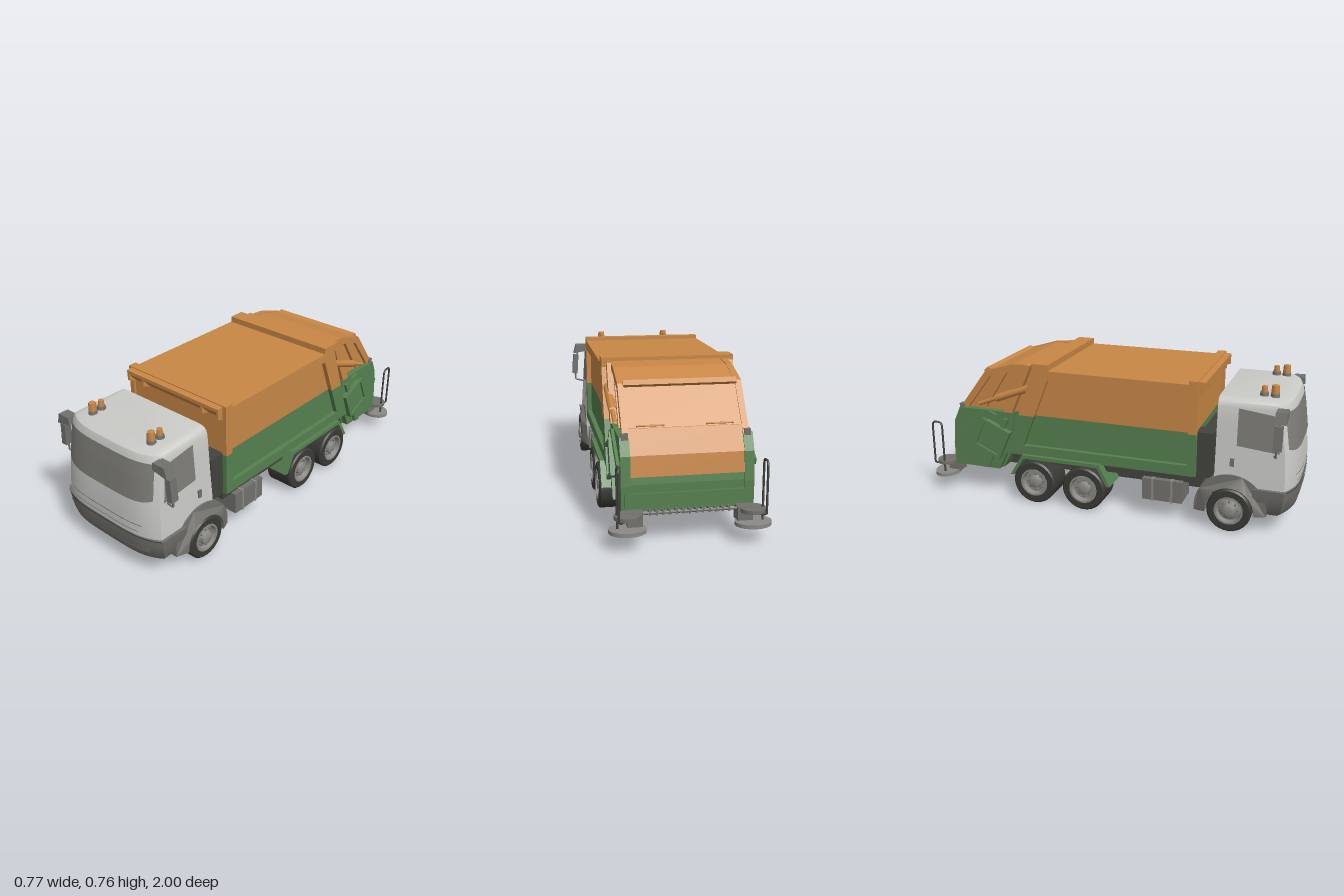
import * as THREE from 'three';
import { toCreasedNormals } from 'three/addons/utils/BufferGeometryUtils.js';

export function createModel() {
  const root = new THREE.Group();
  const mat = (name, color, side = THREE.FrontSide) => {
    const m = new THREE.MeshStandardMaterial({ color, side });
    m.name = name;
    return m;
  };
  const orange = mat('orange paint', 0xc88746), green = mat('green paint', 0x55804f);
  const white = mat('cab paint', 0xc9c9c6), glass = mat('glass', 0x7e7d77, THREE.DoubleSide);
  const grey = mat('grey plastic', 0x72716d), metal = mat('metal', 0x8a8985);
  const dark = mat('dark chassis', 0x42423e), rubber = mat('rubber', 0x3a3a36);

  const add = (name, geo, m, parent = root) => {
    const mesh = new THREE.Mesh(geo, m);
    mesh.name = name;
    parent.add(mesh);
    return mesh;
  };
  // box from its limits
  const box = (name, m, x0, x1, y0, y1, z0, z1) =>
    add(name, new THREE.BoxGeometry(x1 - x0, y1 - y0, Math.abs(z1 - z0))
      .translate((x0 + x1) / 2, (y0 + y1) / 2, (z0 + z1) / 2), m);
  // side outline of [z, y] points, extruded from x0 to x1
  const slab = (name, m, pts, x0, x1) => {
    const shape = new THREE.Shape(pts.map(p => new THREE.Vector2(...p)));
    return add(name, new THREE.ExtrudeGeometry(shape, { depth: x1 - x0, bevelEnabled: false })
      .rotateY(-Math.PI / 2).translate(x1, 0, 0), m);
  };
  const pair = (name, m, pts, x0, x1) => {
    slab(name, m, pts, x0, x1);
    slab(name, m, pts, -x1, -x0);
  };
  // keep the part of an outline above (s = 1) or below (s = -1) height h
  const clip = (pts, h, s) => pts.flatMap((p, i) => {
    const q = pts[(i + 1) % pts.length], a = s * (p[1] - h), b = s * (q[1] - h), t = a / (a - b);
    const out = a >= 0 ? [p] : [];
    if (a * b < 0) out.push([p[0] + (q[0] - p[0]) * t, h]);
    return out;
  });
  const twoTone = (name, pts, x0, x1, build = slab) => {
    const up = clip(pts, 0.477, 1), low = clip(pts, 0.477, -1);
    if (up.length > 2) build(name, orange, up, x0, x1);
    if (low.length > 2) build(name, green, low, x0, x1);
  };
  const tube = (name, m, pts, r) => {
    const path = new THREE.CurvePath();
    const v = pts.map(p => new THREE.Vector3(...p));
    for (let i = 1; i < v.length; i++) path.add(new THREE.LineCurve3(v[i - 1], v[i]));
    return add(name, new THREE.TubeGeometry(path, (v.length - 1) * 8, r, 8), m);
  };

  // ---- cab: horizontal sections [height, half width, front z]
  const bulge = 0.055;
  const loft = (levels, back) => {
    const n = 24, pos = [], idx = [], count = n + 3;
    for (const [y, w, f] of levels) {
      pos.push(-w, y, back);
      for (let i = 0; i <= n; i++) {
        const u = i / n * 2 - 1;
        pos.push(u * w, y, f - bulge * u ** 4);
      }
      pos.push(w, y, back);
    }
    for (let k = 0; k < levels.length - 1; k++) for (let j = 0; j < count; j++) {
      const a = k * count + j, b = k * count + (j + 1) % count;
      idx.push(a, b, b + count, a, b + count, a + count);
    }
    const top = (levels.length - 1) * count;
    for (let j = 1; j < count - 1; j++) idx.push(top, top + j, top + j + 1, 0, j + 1, j);
    const g = new THREE.BufferGeometry();
    g.setAttribute('position', new THREE.Float32BufferAttribute(pos, 3));
    g.setIndex(idx);
    return toCreasedNormals(g, 0.7);
  };
  const cab = [[0.235, 0.325, 0.995], [0.3, 0.322, 0.995], [0.42, 0.313, 0.985], [0.55, 0.305, 0.968],
    [0.63, 0.3, 0.954], [0.655, 0.293, 0.943], [0.669, 0.278, 0.91], [0.675, 0.255, 0.86]];
  const bumper = [[0.095, 0.3, 0.965], [0.12, 0.322, 0.985], [0.2, 0.338, 0.996], [0.236, 0.342, 0.998]];
  add('cab', loft(cab, 0.595), white);
  add('bumper', loft(bumper, 0.79), grey);
  const at = (levels, y) => {
    let k = 0;
    while (k < levels.length - 2 && y > levels[k + 1][0]) k++;
    const [a, b] = [levels[k], levels[k + 1]], t = (y - a[0]) / (b[0] - a[0]);
    return [a[1] + (b[1] - a[1]) * t, a[2] + (b[2] - a[2]) * t];
  };
  // thin sheet whose grid is placed by a rule (u, v in 0..1)
  const sheet = (name, m, rule) => {
    const g = new THREE.PlaneGeometry(1, 1, 24, 14), p = g.attributes.position;
    for (let i = 0; i < p.count; i++) p.setXYZ(i, ...rule(p.getX(i) + 0.5, p.getY(i) + 0.5));
    g.computeVertexNormals();
    add(name, g, m);
  };
  // sheet on the front; corner pulls the ends of the lower edge up
  const frontSheet = (name, m, levels, y0, y1, w0, w1, corner = 0) => sheet(name, m, (u, v) => {
    const s = u * 2 - 1, y = y0 + (y1 - y0) * v + corner * (1 - v) * s ** 8;
    const x = s * (w0 + (w1 - w0) * v), [w, f] = at(levels, y);
    return [x, y, f - bulge * (x / w) ** 4 + 0.004];
  });
  frontSheet('windscreen', glass, cab, 0.423, 0.622, 0.289, 0.284, 0.02);
  frontSheet('grille slot top', grey, cab, 0.297, 0.301, 0.24, 0.24);
  frontSheet('grille slot bottom', grey, cab, 0.26, 0.263, 0.22, 0.22);
  frontSheet('bumper panel', grey, bumper, 0.15, 0.208, 0.27, 0.29);
  frontSheet('bumper gap', dark, bumper, 0.231, 0.236, 0.335, 0.335);
  for (const s of [1, -1]) {
    sheet('side window', glass, (u, v) => {
      const t = s > 0 ? u : 1 - u, y = 0.422 + 0.02 * t + (0.185 - 0.01 * t) * v + 0.012 * t * v;
      const front = 0.905 - 0.03 * v;
      return [s * (at(cab, y)[0] + 0.004), y, front + (0.698 - front) * t];
    });
    const h = s * 0.318;
    box('door handle', grey, h - 0.008, h + 0.008, 0.335, 0.375, 0.67, 0.69);
    // mirrors and their arms
    const visor = new THREE.Shape([[0.285, 0.607], [0.375, 0.59], [0.36, 0.645], [0.29, 0.645]]
      .map(([x, y]) => new THREE.Vector2(s * x, y)));
    add('front mirror', new THREE.ExtrudeGeometry(visor, { depth: 0.055, bevelEnabled: false }).translate(0, 0, 0.88), grey);
    const side = box('side mirror', grey, -0.016, 0.016, -0.06, 0.06, -0.02, 0.02);
    side.position.set(s * 0.366, 0.52, 0.9);
    side.rotation.z = s * 0.07;
    tube('mirror arm', grey, [[s * 0.35, 0.6, 0.9], [s * 0.37, 0.5, 0.895], [s * 0.365, 0.42, 0.895], [s * 0.31, 0.41, 0.88]], 0.005);
    // beacons
    for (const [z, y, r] of [[0.852, 0.73, 0.021], [0.8, 0.722, 0.016]]) {
      add('beacon base', new THREE.CylinderGeometry(0.02, 0.024, 0.025, 12).translate(s * 0.2, 0.68, z), grey);
      add('beacon', new THREE.CylinderGeometry(r * 0.85, r, y - 0.69, 12).translate(s * 0.2, (y + 0.69) / 2, z), orange);
    }
    // front wheel arch, its outer rim drawn in towards the door
    const arch = new THREE.Shape();
    arch.absarc(0.68, 0.11, 0.182, -0.1, Math.PI + 0.15, false);
    arch.absarc(0.68, 0.11, 0.122, Math.PI + 0.15, -0.1, true);
    const ag = new THREE.ExtrudeGeometry(arch, { depth: 0.145, bevelEnabled: false, curveSegments: 20 })
      .rotateY(-Math.PI / 2).translate(s > 0 ? 0.36 : -0.215, 0, 0), ap = ag.attributes.position;
    for (let i = 0; i < ap.count; i++) {
      const r = Math.hypot(ap.getZ(i) - 0.68, ap.getY(i) - 0.11);
      if (r > 0.15 && Math.abs(ap.getX(i)) > 0.3) ap.setX(i, s * 0.332);
    }
    ag.computeVertexNormals();
    add('front fender', ag, grey);
  }

  // ---- chassis
  box('chassis', dark, -0.185, 0.185, 0.14, 0.26, -0.6, 0.82);
  box('subframe', dark, -0.3, 0.3, 0.21, 0.258, -0.52, 0.5);
  box('engine cover', dark, -0.185, 0.185, 0.25, 0.45, 0.495, 0.6);
  for (const s of [1, -1]) {
    const lim = (a, b) => s > 0 ? [a, b] : [-b, -a];
    box('air intake', dark, ...lim(0.215, 0.305), 0.25, 0.485, 0.495, 0.58);
    box('side tank', grey, ...lim(0.18, 0.33), 0.1, 0.215, 0.225, 0.435);
    for (const z of [0.28, 0.38]) box('tank strap', metal, ...lim(0.2, 0.334), 0.097, 0.218, z - 0.006, z + 0.006);
  }

  // ---- wheels
  const wheel = (z, r, w, s, dish) => {
    const g = new THREE.Group(), h = w / 2, b = r * 0.62;
    g.name = 'wheel';
    const turn = (name, m, pts) => add(name, toCreasedNormals(
      new THREE.LatheGeometry(pts.map(p => new THREE.Vector2(...p)), 32).rotateZ(-Math.PI / 2), 0.6), m, g);
    turn('tyre', rubber, [[0, -h], [r - 0.008, -h], [r, 0.008 - h], [r, h - 0.008], [r - 0.008, h], [b, h], [b, h - 0.04]]);
    turn('rim', metal, [[b + 0.004, h - 0.005], [b + 0.003, h + 0.003], [b - 0.006, h + 0.003], [b - 0.012, h - 0.025],
      [0.036, h - 0.025 + dish], [0.032, h + dish - 0.005], [0.022, h + dish], [0, h + dish]]);
    for (let i = 0; i < 8; i++) {
      const a = i * Math.PI / 4;
      add('wheel bolt', new THREE.CylinderGeometry(0.005, 0.005, 0.015, 6).rotateZ(Math.PI / 2)
        .translate(h - 0.018 + dish * 0.6, Math.cos(a) * 0.044, Math.sin(a) * 0.044), grey, g);
    }
    g.position.set(s * (0.36 - h), r, z);
    if (s < 0) g.rotation.y = Math.PI;
    root.add(g);
  };
  for (const s of [1, -1]) {
    wheel(0.68, 0.112, 0.155, s, 0.01);
    for (const z of [-0.09, -0.37]) wheel(z, 0.117, 0.16, s, 0);
  }
  // rear mudguards
  pair('mudguard', green, [[0.055, 0.145], [-0.005, 0.262], [-0.44, 0.262], [-0.51, 0.145], [-0.49, 0.145],
    [-0.43, 0.243], [-0.015, 0.243], [0.035, 0.145]], 0.2, 0.352);

  // ---- container: core and side frame
  twoTone('container', [[0.49, 0.255], [-0.51, 0.255], [-0.345, 0.73], [0.49, 0.73]], -0.305, 0.305);
  const frame = [
    [[0.5, 0.255], [-0.5, 0.255], [-0.48, 0.31], [0.5, 0.31]],
    [[0.5, 0.31], [0.455, 0.31], [0.455, 0.68], [0.5, 0.68]],
    [[0.5, 0.68], [-0.3, 0.68], [-0.3, 0.73], [0.5, 0.73]],
    [[-0.46, 0.255], [-0.54, 0.255], [-0.37, 0.73], [-0.27, 0.73]],
  ];
  for (const f of frame) twoTone('side frame', f, 0.3, 0.33, pair);
  box('front rail', orange, -0.33, 0.33, 0.7, 0.748, 0.455, 0.5);
  // overhanging headboard with ribs below it
  slab('headboard', orange, [[0.48, 0.745], [0.532, 0.74], [0.532, 0.722], [0.495, 0.678]], -0.31, 0.31);
  for (const x of [-0.31, -0.206, 0.194, 0.298]) slab('headboard rib', orange,
    [[0.49, 0.73], [0.531, 0.73], [0.531, 0.685], [0.49, 0.67]], x, x + 0.012);
  box('rear hoop', orange, -0.33, 0.33, 0.715, 0.762, -0.375, -0.285);

  // ---- tailgate hopper
  twoTone('hopper', [[-0.36, 0.745], [-0.5, 0.737], [-0.66, 0.69], [-0.8, 0.5], [-0.847, 0.4], [-0.865, 0.27],
    [-0.865, 0.145], [-0.59, 0.145], [-0.53, 0.255]], -0.272, 0.272);
  slab('rear panel', orange, [[-0.8, 0.51], [-0.856, 0.4], [-0.869, 0.305], [-0.855, 0.305], [-0.84, 0.4], [-0.78, 0.51]], -0.262, 0.262);
  slab('top ridge', orange, [[-0.63, 0.695], [-0.665, 0.705], [-0.685, 0.685], [-0.67, 0.67]], -0.265, 0.265);
  box('rear bumper beam', green, -0.29, 0.29, 0.15, 0.23, -0.875, -0.84);
  pair('hopper side', green, [[-0.5, 0.477], [-0.825, 0.477], [-0.86, 0.4], [-0.873, 0.265], [-0.87, 0.145],
    [-0.6, 0.145], [-0.53, 0.3]], 0.26, 0.305);
  pair('hopper post', orange, [[-0.39, 0.745], [-0.43, 0.745], [-0.56, 0.477], [-0.51, 0.477]], 0.26, 0.31);
  pair('hopper edge', orange, [[-0.43, 0.745], [-0.5, 0.74], [-0.665, 0.69], [-0.825, 0.477], [-0.78, 0.477],
    [-0.64, 0.66], [-0.49, 0.705], [-0.41, 0.715]], 0.26, 0.29);
  pair('hopper brace', orange, [[-0.52, 0.72], [-0.55, 0.71], [-0.7, 0.49], [-0.67, 0.49]], 0.26, 0.29);
  pair('lower rib', green, [[-0.53, 0.44], [-0.56, 0.44], [-0.7, 0.15], [-0.66, 0.15]], 0.3, 0.32);
  pair('lower rib', green, [[-0.6, 0.46], [-0.84, 0.33], [-0.85, 0.36], [-0.64, 0.475]], 0.3, 0.32);
  for (const s of [1, -1]) {
    // tilted square housing
    const plate = (name, a, d, dz = 0, dy = 0, b = a) => {
      const m = box(name, green, -d, d, -b, b, -a, a), t = 0.42;
      m.position.set(s * 0.315, 0.325 + dy * Math.cos(t) - dz * Math.sin(t), -0.63 + dz * Math.cos(t) + dy * Math.sin(t));
      m.rotation.x = t;
    };
    plate('housing', 0.075, 0.01);
    for (const k of [-1, 1]) {
      plate('housing frame', 0.085, 0.02, 0, k * 0.077, 0.009);
      plate('housing frame', 0.009, 0.02, k * 0.077, 0, 0.085);
    }
    tube('hydraulic cylinder', orange, [[s * 0.305, 0.625, -0.4], [s * 0.305, 0.55, -0.6]], 0.02);
    tube('hydraulic rod', orange, [[s * 0.305, 0.55, -0.6], [s * 0.305, 0.51, -0.7]], 0.011);
    box('rear lamp', grey, s * 0.28 - 0.015, s * 0.28 + 0.015, 0.46, 0.495, -0.83, -0.8);
    tube('rear handle', orange, [[s * 0.1, 0.515, -0.785], [s * 0.1, 0.522, -0.802], [s * 0.22, 0.522, -0.802], [s * 0.22, 0.515, -0.785]], 0.004);

    // crew step with guard rail
    const disc = (name, m, y, h, rx, rz) => add(name, new THREE.CylinderGeometry(1, 1, h, 24)
      .scale(rx, 1, rz).translate(s * 0.285, y, -0.933), m);
    disc('step plate', metal, 0.088, 0.018, 0.085, 0.067);
    disc('upper step', grey, 0.15, 0.018, 0.06, 0.055);
    box('step bracket', grey, s * 0.25 - 0.035, s * 0.25 + 0.035, 0.09, 0.16, -0.93, -0.86);
    tube('guard rail', dark, [[s * 0.33, 0.09, -0.93], [s * 0.33, 0.37, -0.93], [s * 0.33, 0.385, -0.942],
      [s * 0.33, 0.385, -0.978], [s * 0.33, 0.37, -0.988], [s * 0.33, 0.14, -0.988], [s * 0.3, 0.14, -0.97]], 0.0055);
  }
  // rear rack between the steps
  tube('rack bar', grey, [[-0.22, 0.15, -0.905], [0.22, 0.15, -0.905]], 0.007);
  for (let i = -6; i <= 6; i++) box('rack tooth', grey, i * 0.03 - 0.004, i * 0.03 + 0.004, 0.14, 0.16, -0.912, -0.86);

  return root;
}
